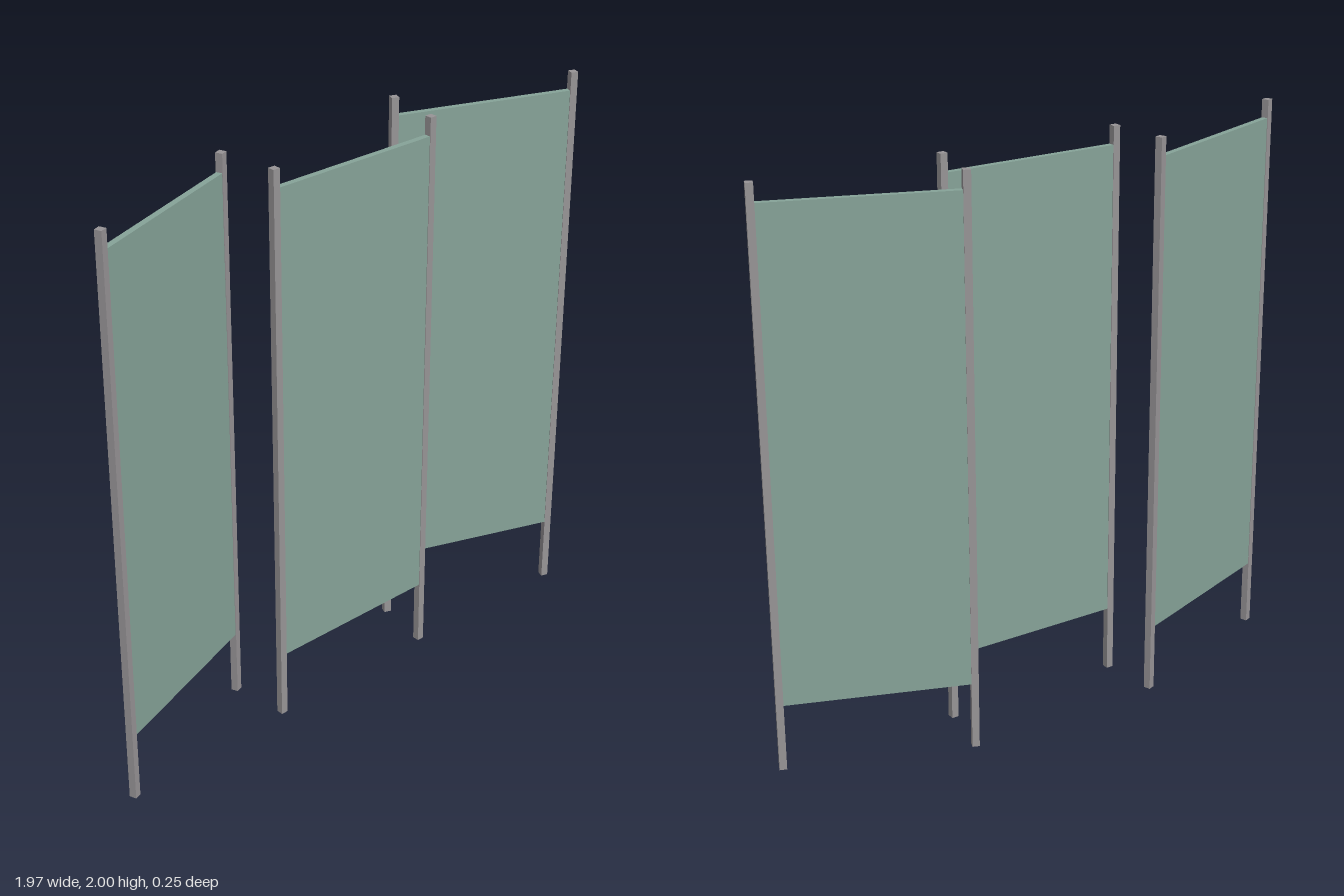
import * as THREE from 'three';

const HEIGHT = 2, WIDTH = 0.675, POST = 0.025;
const PANEL_BOTTOM = 0.24, PANEL_TOP = 1.937, PANEL_DEPTH = 0.021;

export function createModel() {
  const postGrey = new THREE.MeshStandardMaterial({ color: 0x979496 });
  postGrey.name = 'post grey';
  const sageGreen = new THREE.MeshStandardMaterial({ color: 0x86a398 });
  sageGreen.name = 'sage green';

  const postGeometry = new THREE.BoxGeometry(POST, HEIGHT, POST);
  const panelGeometry = new THREE.BoxGeometry(WIDTH - 2 * POST, PANEL_TOP - PANEL_BOTTOM, PANEL_DEPTH);

  // One screen: a board held between two square posts
  function createScreen(name, x, z, angle) {
    const screen = new THREE.Group();
    screen.name = name;
    const panel = new THREE.Mesh(panelGeometry, sageGreen);
    panel.name = 'panel';
    panel.position.y = (PANEL_TOP + PANEL_BOTTOM) / 2;
    screen.add(panel);
    for (const side of [-1, 1]) {
      const post = new THREE.Mesh(postGeometry, postGrey);
      post.name = side > 0 ? 'leftPost' : 'rightPost';
      post.position.set(side * (WIDTH - POST) / 2, HEIGHT / 2, 0);
      screen.add(post);
    }
    screen.position.set(x, 0, z);
    screen.rotation.y = angle;
    return screen;
  }

  // Centre screen stands forward; the wings swing their outer ends to the front
  const model = new THREE.Group();
  model.name = 'roomDivider';
  const swing = THREE.MathUtils.degToRad(20);
  model.add(
    createScreen('centreScreen', 0, 0.094, 0),
    createScreen('leftScreen', 0.666, 0, -swing),
    createScreen('rightScreen', -0.666, 0, swing)
  );
  return model;
}
